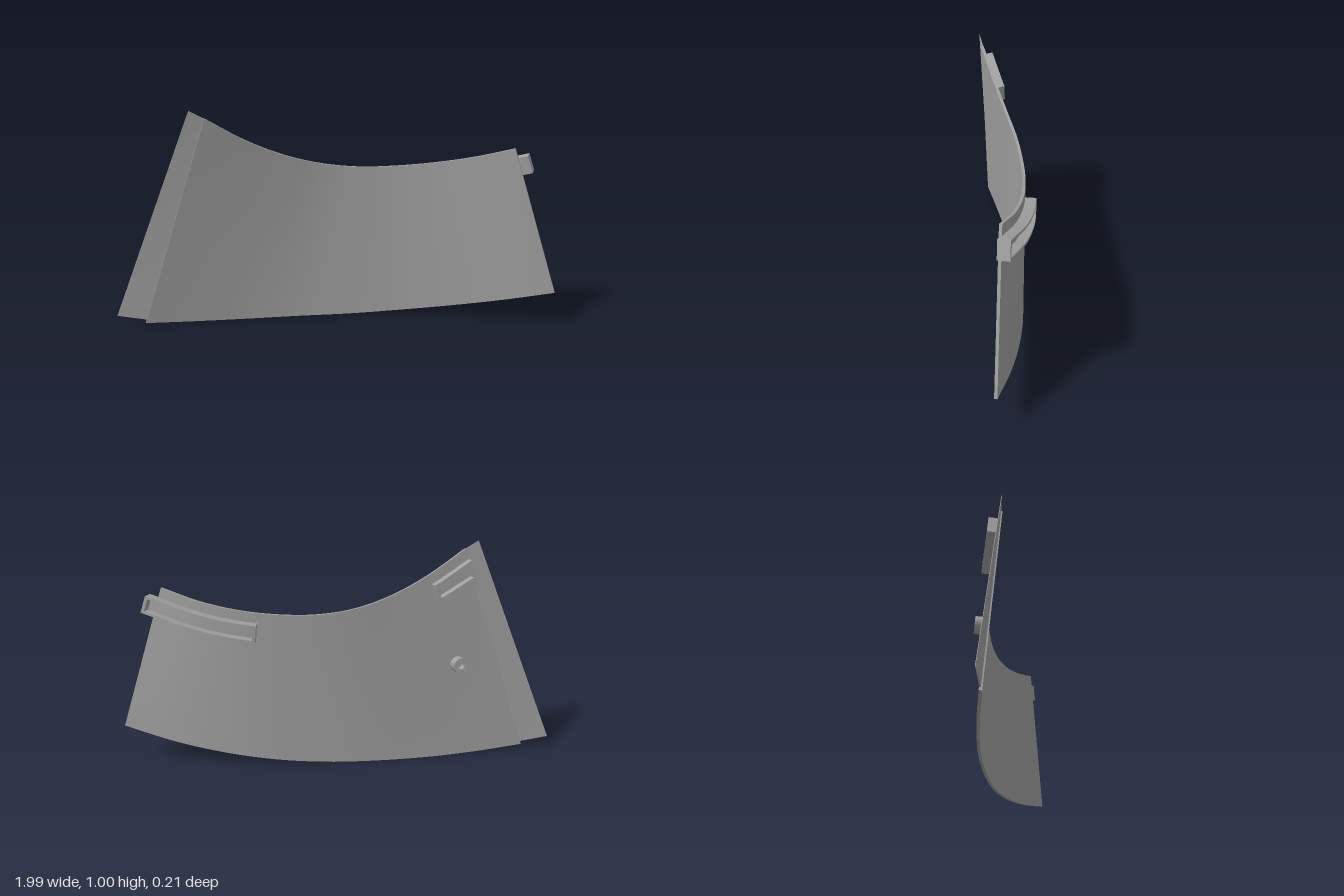
import * as THREE from 'three';

const THICK = 0.013;
const grey = new THREE.MeshStandardMaterial({ color: 0xa0a0a0 });
grey.name = 'plain grey';

// Upper and lower edges of the curved panel, matched point by point
const curve = (pts) => new THREE.CatmullRomCurve3(pts.map((p) => new THREE.Vector3(...p)));
const topEdge = curve([
  [-0.57, 0.97, 0.1], [-0.4, 0.865, 0.05], [-0.23, 0.787, 0.003], [-0.06, 0.739, -0.033],
  [0.107, 0.72, -0.047], [0.277, 0.724, -0.047], [0.446, 0.742, -0.03], [0.616, 0.775, 0.01], [0.785, 0.825, 0.072],
]);
const bottomEdge = curve([
  [-0.87, 0.02, 0.066], [-0.637, 0.01, 0.022], [-0.405, 0.006, -0.014], [-0.172, 0.008, -0.038],
  [0.06, 0.014, -0.047], [0.292, 0.032, -0.042], [0.525, 0.062, -0.014], [0.757, 0.105, 0.035], [0.99, 0.163, 0.102],
]);

// Point on an edge, continued straight beyond its ends
function edgePoint(edge, u) {
  const c = THREE.MathUtils.clamp(u, 0, 1);
  const p = edge.getPoint(c);
  if (c === u) return p;
  const inner = edge.getPoint(c === 1 ? 0.98 : 0.02);
  return p.add(p.clone().sub(inner).multiplyScalar(Math.abs(u - c) / 0.02));
}

// u runs left to right as seen from the front, v runs downwards
const surface = (u, v) => edgePoint(topEdge, u).lerp(edgePoint(bottomEdge, u), v);

function normalAt(u, v) {
  const e = 0.005;
  const du = surface(u + e, v).sub(surface(u - e, v));
  const up = surface(u, v - e).sub(surface(u, v + e));
  return du.cross(up).normalize();
}

// Point at depth d behind the front of the panel
const behind = (u, v, d) => surface(u, v).addScaledVector(normalAt(u, v), -d);

// Bends a box by a rule taking 0..1 across, down and back
function bentBox(name, nu, nv, rule) {
  const geo = new THREE.BoxGeometry(1, 1, 1, nu, nv, 1);
  const pos = geo.attributes.position;
  for (let i = 0; i < pos.count; i++) {
    const p = rule(pos.getX(i) + 0.5, 0.5 - pos.getY(i), 0.5 - pos.getZ(i));
    pos.setXYZ(i, p.x, p.y, p.z);
  }
  geo.computeVertexNormals();
  const mesh = new THREE.Mesh(geo, grey);
  mesh.name = name;
  return mesh;
}

const mix = THREE.MathUtils.lerp;
const slab = (name, [u0, u1], [v0, v1], [d0, d1], nu, nv = 1) =>
  bentBox(name, nu, nv, (a, b, c) => behind(mix(u0, u1, a), mix(v0, v1, b), mix(d0, d1, c)));

// Rectangular frame of four walls following the back of the panel
function frame(name, [u0, u1], [v0, v1], depth, nu) {
  const g = new THREE.Group();
  g.name = name;
  const wu = 0.009, wv = 0.015;
  const d = [THICK - 0.003, depth];
  g.add(
    slab('upperWall', [u0, u1], [v0, v0 + wv], d, nu),
    slab('lowerWall', [u0, u1], [v1 - wv, v1], d, nu),
    slab('leftWall', [u0, u0 + wu], [v0 + wv, v1 - wv], d, 1),
    slab('rightWall', [u1 - wu, u1], [v0 + wv, v1 - wv], d, 1),
  );
  return g;
}

export function createModel() {
  const model = new THREE.Group();
  model.name = 'curvedPanel';

  // Main curved panel
  model.add(slab('panel', [0, 1], [0, 1], [0, THICK], 64, 8));

  // Thin flap along the slanted side, set back from the front
  const outerTop = new THREE.Vector3(-0.635, 1.005, 0.106);
  const outerBottom = new THREE.Vector3(-1, 0.055, 0.062);
  model.add(bentBox('sideFlap', 1, 8, (a, b, c) => {
    const outer = outerTop.clone().lerp(outerBottom, b);
    outer.z -= 0.002 * c;
    return outer.lerp(behind(0.003, mix(0.002, 0.985, b), mix(0.005, 0.011, c)), a);
  }));

  // Long curved channel near the upper edge, overhanging the side
  const channel = frame('channel', [0.69, 1.028], [0.065, 0.18], 0.06, 24);
  channel.add(slab('channelFloor', [0.69, 1.028], [0.065, 0.18], [0.008, 0.018], 24));
  model.add(channel);

  // Short frame at the opposite upper corner
  model.add(frame('shortFrame', [0.0, 0.125], [0.05, 0.14], 0.055, 8));

  // Hollow peg on the back
  const pegProfile = [[0.036, 0], [0.036, 0.05], [0.015, 0.05], [0.015, 0.012], [0, 0.012]];
  const pegGroup = new THREE.Group();
  pegGroup.name = 'peg';
  for (let i = 0; i < pegProfile.length - 1; i++) {
    const pts = [pegProfile[i], pegProfile[i + 1]].map((p) => new THREE.Vector2(...p));
    const part = new THREE.Mesh(new THREE.LatheGeometry(pts, 28), grey);
    part.name = ['pegSide', 'pegRim', 'pegBore', 'pegBoreFloor'][i];
    pegGroup.add(part);
  }
  pegGroup.position.copy(behind(0.11, 0.5, THICK - 0.004));
  pegGroup.quaternion.setFromUnitVectors(new THREE.Vector3(0, 1, 0), normalAt(0.11, 0.5).negate());
  model.add(pegGroup);

  return model;
}
